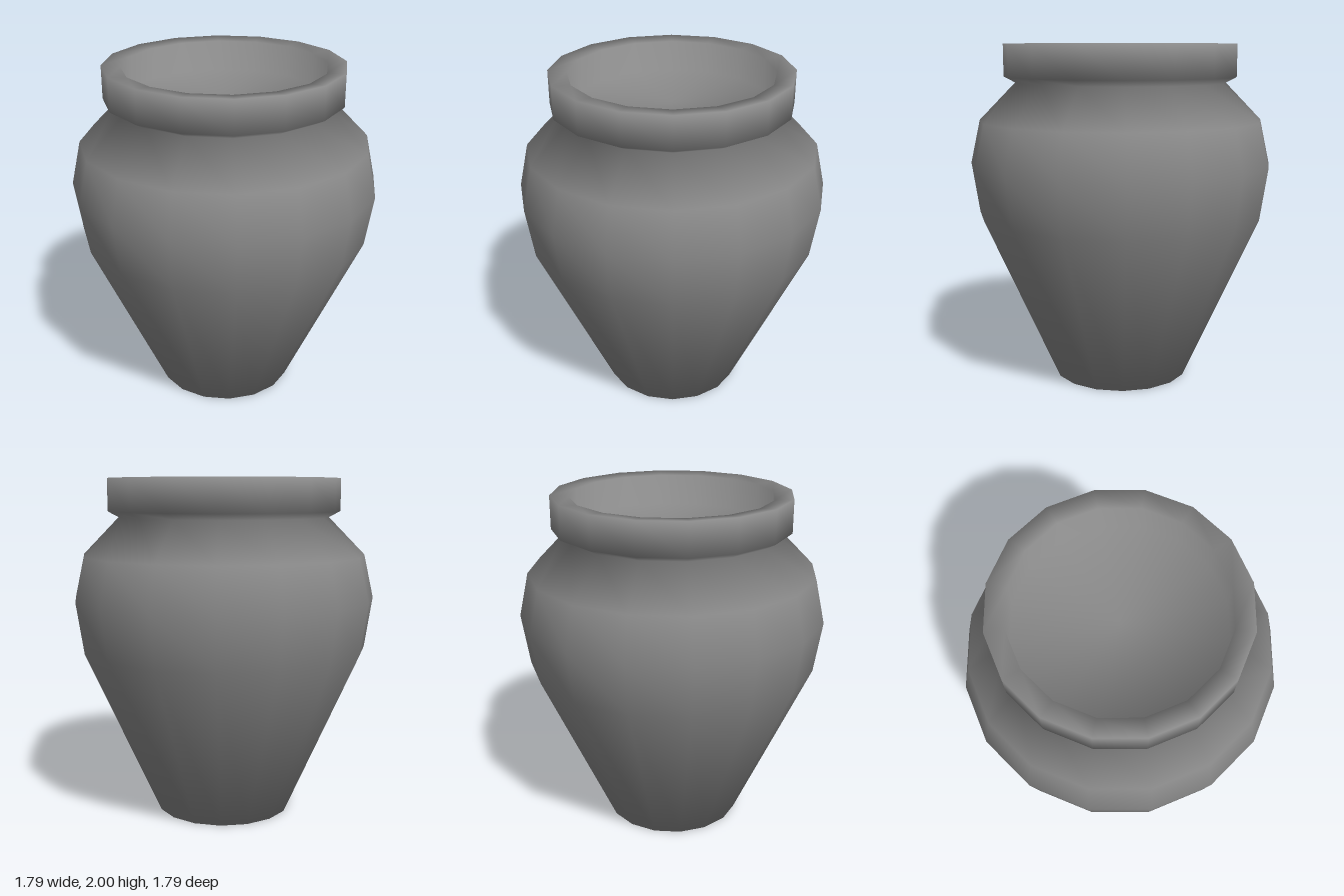
import * as THREE from 'three';

const SIDES = 16;

// Turns a list of [radius, height] pairs around the y axis.
// Each ring's normal is the even average of the two profile segments beside it.
function turned(name, profile, material) {
  const points = profile.map(([r, y]) => new THREE.Vector2(r, y));
  const geometry = new THREE.LatheGeometry(points, SIDES);

  const facing = points.slice(1).map((p, i) => {
    const d = p.clone().sub(points[i]).normalize();
    return new THREE.Vector2(d.y, -d.x);
  });
  const last = facing.length - 1;
  const normals = geometry.attributes.normal;
  points.forEach((p, j) => {
    const n = facing[Math.max(j - 1, 0)].clone().add(facing[Math.min(j, last)]).normalize();
    for (let i = 0; i <= SIDES; i++) {
      const a = (i / SIDES) * Math.PI * 2;
      normals.setXYZ(i * points.length + j, n.x * Math.sin(a), n.y, n.x * Math.cos(a));
    }
  });

  const mesh = new THREE.Mesh(geometry, material);
  mesh.name = name;
  return mesh;
}

export function createModel() {
  const group = new THREE.Group();
  group.name = 'urn';
  const clay = new THREE.MeshStandardMaterial({ color: 0x888888 });

  const outside = [
    [0, 0], [0.405, 0],                       // foot
    [0.852, 1.0], [0.897, 1.3], [0.84, 1.555], // belly and shoulder
    [0.625, 1.775],                           // neck
    [0.692, 1.81], [0.692, 2.0],              // rim band
  ];
  const mouth = [
    [0.585, 1.99], [0.58, 1.81], [0, 1.81],   // lip and shallow, softly shaded floor
  ];
  group.add(turned('urnBody', [...outside, ...mouth], clay));

  return group;
}
